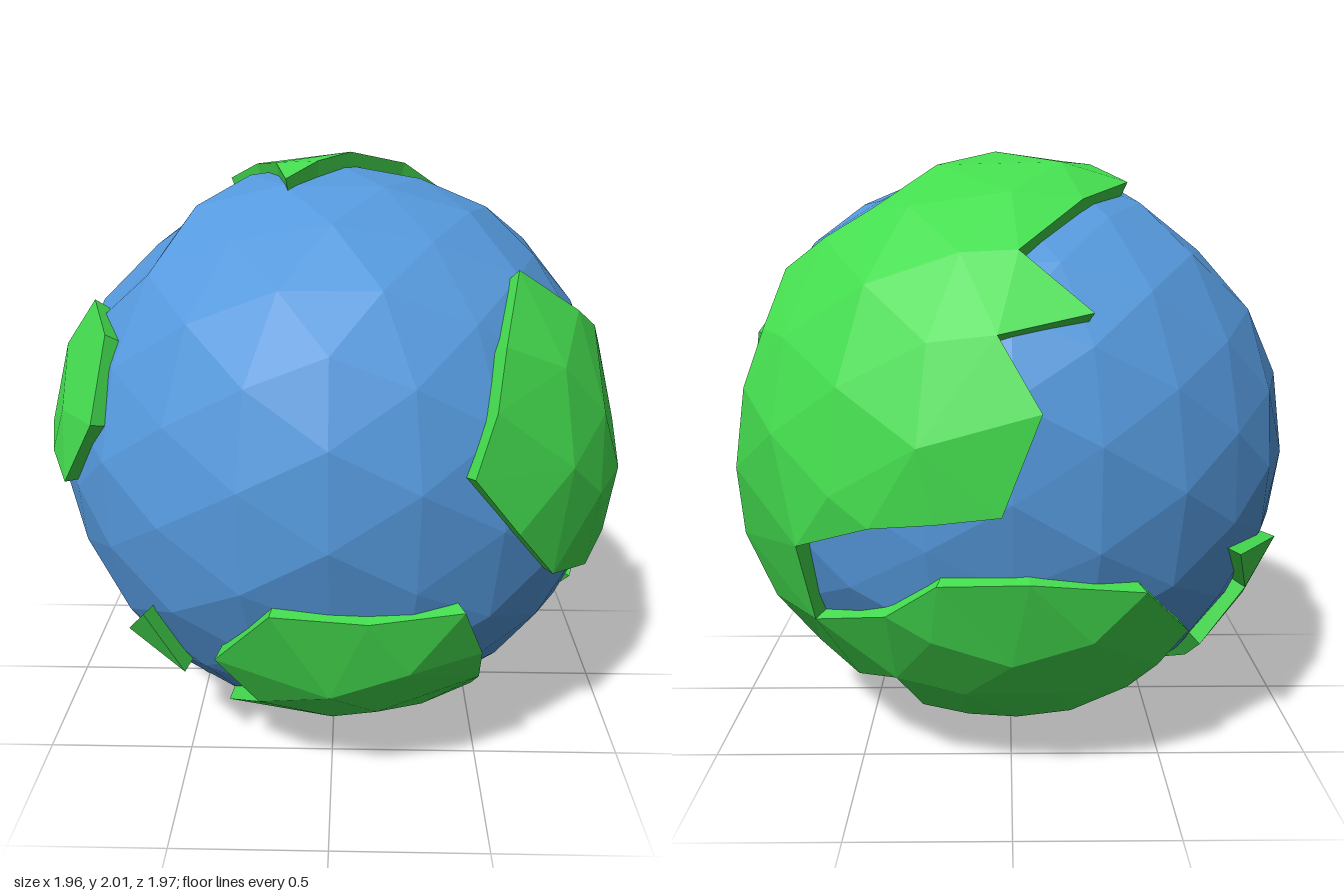
import * as THREE from 'three';

const V = (x, y, z) => new THREE.Vector3(x, y, z);
const OCEAN_R = 0.966, LAND_R = 1.004, BASE_R = 0.935;

// Repeatable variation that depends only on a direction
const noise = (d) => {
  const s = Math.sin(d.x * 127.1 + d.y * 311.7 + d.z * 74.7) * 43.5;
  return (s - Math.floor(s)) * 2 - 1;
};

// Broad swellings and hollows shared by water and land: direction, height, angular reach
const RELIEF = [
  [V(0, .56, .83), 0.05, 0.6],
  [V(.55, .40, .72), 0.02, 0.5],
  [V(0, .02, 1), 0.03, 0.35],
  [V(.05, -.23, .95), -0.04, 0.3],
  [V(.05, -.50, .87), 0.03, 0.3],
  [V(-.60, .68, .08), -0.08, 0.35],
  [V(-.44, .86, .20), 0.045, 0.22],
  [V(.98, .15, -.12), -0.045, 0.4],
  [V(-.05, .27, -.96), 0.025, 0.3],
  [V(.08, -.15, -.98), -0.045, 0.35],
  [V(-.85, -.50, .20), -0.035, 0.4],
];
const relief = (d) => RELIEF.reduce((s, [at, h, reach]) => s + h * Math.max(0, 1 - d.angleTo(at) / reach), 0);

// Coastlines as points around the globe, relative to its centre
const COASTS = {
  mainContinent: [
    [-.15, .96, .31], [.05, .99, .03], [.42, .78, -.40], [.73, .62, -.32], [.80, .45, -.47], [.86, .26, -.49],
    [.92, -.28, -.32], [.85, -.51, -.17], [.68, -.69, -.26], [.51, -.72, -.47], [.36, -.63, -.69],
    [.30, -.85, -.43], [-.02, -.89, -.47], [-.38, -.73, -.58], [-.55, -.48, -.68], [-.39, -.28, -.88],
    [-.05, -.24, -.97], [.22, -.25, -.94], [.37, -.36, -.86], [.62, -.46, -.64], [.64, -.18, -.74],
    [.41, -.08, -.91], [.03, -.03, -.99], [-.08, .26, -.97], [.04, .46, -.88], [-.23, .52, -.83],
    [-.02, .69, -.73], [-.38, .89, -.25]],
  eastContinent: [
    [.58, .72, .48], [.78, .55, .34], [.93, .38, .05], [.98, -.16, .18], [.86, -.28, .50],
    [.70, -.20, .72], [.57, 0, .87], [.41, .20, .92], [.50, .53, .73]],
  frontContinent: [
    [-.17, -.21, .95], [.40, -.23, .89], [.48, -.45, .77], [.48, -.73, .50], [.40, -.88, .25],
    [.08, -.95, .30], [-.20, -.93, .33], [-.35, -.77, .54], [-.23, -.65, .73], [-.35, -.43, .83]],
  southContinent: [
    [-.71, -.24, -.67], [-.87, -.26, -.40], [-.84, -.46, .14], [-.67, -.67, .22], [-.47, -.84, .28],
    [-.20, -.94, .27], [-.03, -.99, 0], [-.33, -.93, -.07], [-.57, -.81, -.14], [-.63, -.62, -.46],
    [-.78, -.42, -.48]],
  westContinent: [
    [-.83, .59, .27], [-.68, .50, .52], [-.70, .25, .63], [-.84, .02, .51], [-.98, .10, .16], [-.92, .39, .17]],
  eastIsland: [[.93, -.35, -.02], [.86, -.49, .15], [.79, -.61, .05]],
  westIsland: [[-.58, -.33, .74], [-.67, -.48, .57], [-.48, -.60, .64]],
};

// Globe of water: faceted and slightly uneven
function oceanGeometry() {
  const g = new THREE.IcosahedronGeometry(1, 3), p = g.attributes.position, v = V();
  for (let i = 0; i < p.count; i++) {
    v.fromBufferAttribute(p, i).normalize();
    v.set(...v.toArray().map((c) => Math.round(c * 1e4) / 1e4));
    v.multiplyScalar(OCEAN_R + relief(v) + 0.008 * noise(v));
    p.setXYZ(i, v.x, v.y, v.z);
  }
  g.computeVertexNormals();
  return g;
}

const cross = (a, b, c) => (b[0] - a[0]) * (c[1] - a[1]) - (b[1] - a[1]) * (c[0] - a[0]);

function inside(p, poly) {
  let hit = false;
  poly.forEach((a, i) => {
    const b = poly[(i + 1) % poly.length];
    if ((a[1] > p[1]) !== (b[1] > p[1]) &&
      p[0] < (b[0] - a[0]) * (p[1] - a[1]) / (b[1] - a[1]) + a[0]) hit = !hit;
  });
  return hit;
}

// Delaunay triangles of flat points, all counter-clockwise
function triangulate(input) {
  const n = input.length;
  const pts = [...input, [-50, -40], [50, -40], [0, 60]];
  let tris = [[n, n + 1, n + 2]];
  const inCircle = (t, p) => {
    const [a, b, c] = t.map((i) => [pts[i][0] - p[0], pts[i][1] - p[1]]);
    const q = (u) => u[0] * u[0] + u[1] * u[1];
    return q(a) * (b[0] * c[1] - c[0] * b[1]) - q(b) * (a[0] * c[1] - c[0] * a[1])
      + q(c) * (a[0] * b[1] - b[0] * a[1]) > 0;
  };
  for (let i = 0; i < n; i++) {
    const bad = tris.filter((t) => inCircle(t, pts[i]));
    tris = tris.filter((t) => !bad.includes(t));
    for (const [a, b] of openEdges(bad)) tris.push([a, b, i]);
  }
  return tris.filter((t) => t.every((i) => i < n));
}

// Edges that belong to only one triangle
function openEdges(tris) {
  const edges = new Map();
  for (const t of tris) for (let k = 0; k < 3; k++) edges.set(t[k] + '_' + t[(k + 1) % 3], [t[k], t[(k + 1) % 3]]);
  return [...edges.values()].filter(([a, b]) => !edges.has(b + '_' + a));
}

// Land plate: faceted top on the sphere plus a wall down into the water
function landGeometry(coast, seeds) {
  const dirs = coast.map((c) => V(...c).normalize());
  const n = dirs.reduce((s, d) => s.add(d), V()).normalize();
  const e1 = V(0.31, 0.9, 0.17).cross(n).normalize(), e2 = n.clone().cross(e1);
  const flat = (d) => {
    const a = d.angleTo(n), s = Math.sin(a) || 1;
    return [d.dot(e1) * a / s, d.dot(e2) * a / s];
  };
  const lift = ([x, y]) => {
    const a = Math.hypot(x, y), s = a ? Math.sin(a) / a : 1;
    return n.clone().multiplyScalar(Math.cos(a)).addScaledVector(e1, x * s).addScaledVector(e2, y * s);
  };
  // Coast split into short steps
  const corners = dirs.map(flat), outline = [];
  corners.forEach((a, i) => {
    const b = corners[(i + 1) % corners.length];
    const steps = Math.ceil(Math.hypot(b[0] - a[0], b[1] - a[1]) / 0.36);
    for (let k = 0; k < steps; k++) outline.push([0, 1].map((j) => a[j] + (b[j] - a[j]) * k / steps));
  });
  // Inland points
  const inland = seeds.filter((d) => d.angleTo(n) < 2.4).map(flat).filter((p) => inside(p, outline)
    && outline.every((a, i) => {
      const b = outline[(i + 1) % outline.length];
      return [0, .5, 1].every((t) => Math.hypot(a[0] + (b[0] - a[0]) * t - p[0], a[1] + (b[1] - a[1]) * t - p[1]) > 0.13);
    }));
  const pts = [...outline, ...inland];
  const tris = triangulate(pts).filter((t) => {
    const mid = [0, 1].map((j) => (pts[t[0]][j] + pts[t[1]][j] + pts[t[2]][j]) / 3);
    return inside(mid, outline) && cross(...t.map((i) => pts[i])) > 1e-5;
  });
  const ring = (radius) => pts.map((p) => {
    const d = lift(p);
    return d.multiplyScalar(radius + relief(d) + 0.005 * noise(d));
  });
  const top = ring(LAND_R), base = ring(BASE_R), out = [];
  for (const t of tris) out.push(...t.map((i) => top[i]));
  for (const [a, b] of openEdges(tris)) out.push(top[b], top[a], base[a], top[b], base[a], base[b]);
  const g = new THREE.BufferGeometry().setFromPoints(out);
  g.computeVertexNormals();
  return g;
}

export function createModel() {
  const group = new THREE.Group();
  group.name = 'planet';
  const water = new THREE.MeshStandardMaterial({ color: 0x5599dd, flatShading: true });
  const land = new THREE.MeshStandardMaterial({ color: 0x44dd4f, flatShading: true, side: THREE.DoubleSide });
  const add = (name, geometry, material) => {
    const mesh = new THREE.Mesh(geometry, material);
    mesh.name = name;
    mesh.position.y = 1;
    group.add(mesh);
  };
  const ocean = oceanGeometry();
  add('ocean', ocean, water);

  // Distinct globe corners serve as inland points of the plates
  const seeds = new Map(), p = ocean.attributes.position;
  for (let i = 0; i < p.count; i++) {
    const d = V().fromBufferAttribute(p, i).normalize();
    seeds.set(d.toArray().map((c) => Math.round(c * 100)).join(), d);
  }
  for (const [name, coast] of Object.entries(COASTS)) add(name, landGeometry(coast, [...seeds.values()]), land);
  return group;
}
